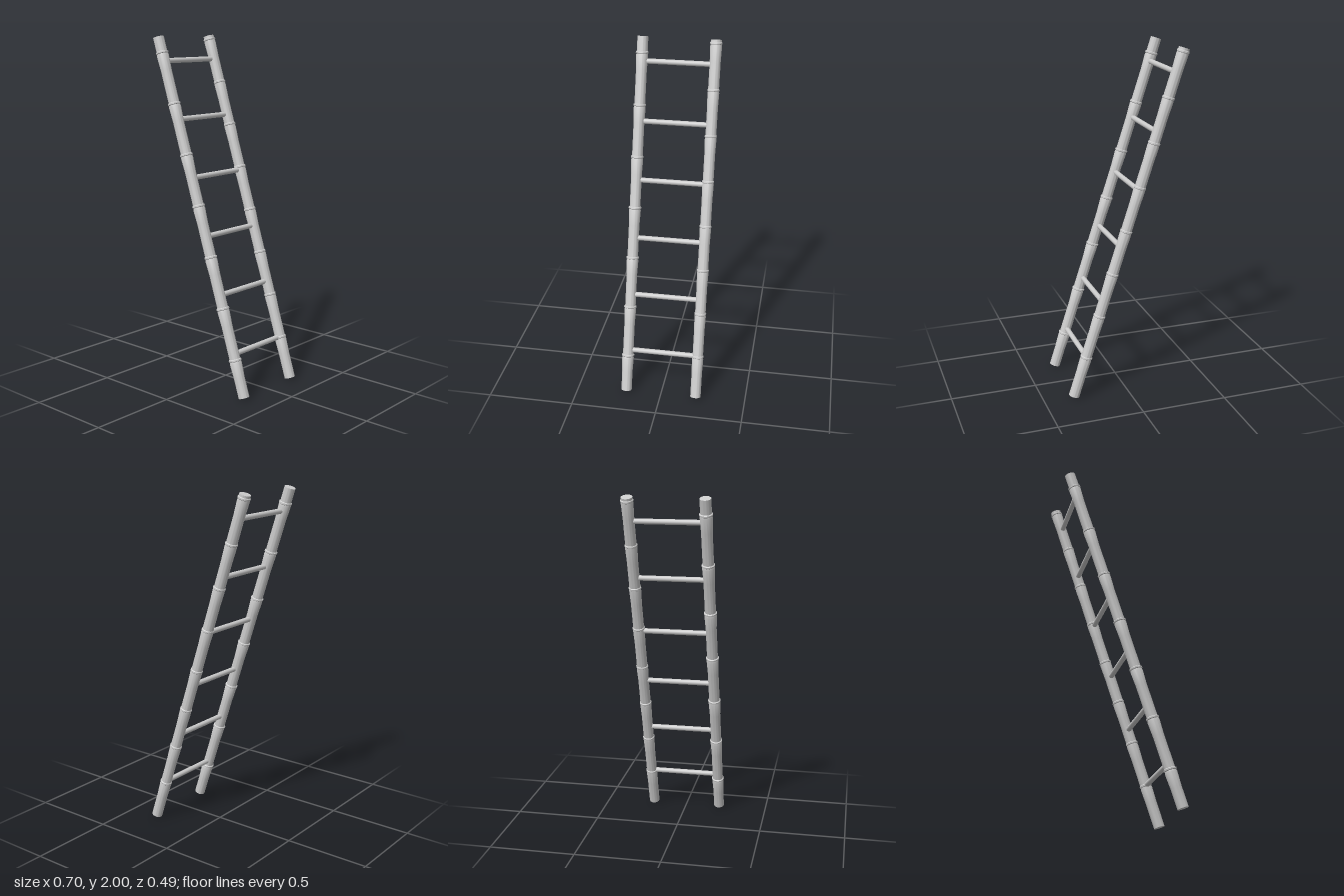
import * as THREE from 'three';
import { toCreasedNormals } from 'three/addons/utils/BufferGeometryUtils.js';

const LEAN = Math.atan2(0.644, 1.98);
const LENGTH = 2.082;
const RADIUS = 0.031;

// Bamboo pole: a lathe that swells below each node and carries a raised ring on it
function poleGeometry(nodeHeights, ring) {
  const half = LENGTH / 2;
  const points = [[0, -half], [RADIUS, -half]];
  for (const y of nodeHeights) {
    const s = (y - 1) / Math.cos(LEAN);
    points.push(
      [RADIUS, s - 0.1],
      [RADIUS + (ring - RADIUS) * 0.65, s - 0.016],
      [RADIUS + 0.001, s - 0.007],
      [ring, s - 0.004],
      [ring, s + 0.004],
      [RADIUS, s + 0.008]
    );
  }
  points.push([RADIUS, half], [0, half]);
  const profile = points.map(([r, s]) => new THREE.Vector2(r, s));
  return toCreasedNormals(new THREE.LatheGeometry(profile, 32), 0.5);
}

export function createModel() {
  const model = new THREE.Group();
  model.name = 'bambooLadder';
  const material = new THREE.MeshStandardMaterial({ color: 0xcccccc });

  // Two leaning poles with differently spaced nodes
  const poles = [
    { name: 'frontPole', z: 0.208, first: 0.215, step: 0.2815, count: 7, ring: 0.0365 },
    { name: 'backPole', z: -0.209, first: 0.245, step: 0.2465, count: 8, ring: 0.035 },
  ];
  for (const { name, z, first, step, count, ring } of poles) {
    const nodes = Array.from({ length: count }, (_, i) => first + i * step);
    const pole = new THREE.Mesh(poleGeometry(nodes, ring), material);
    pole.name = name;
    pole.position.set(0, 1, z);
    pole.rotation.z = LEAN;
    model.add(pole);
  }

  // Six rungs between the poles
  const rungGeometry = new THREE.CylinderGeometry(0.015, 0.015, 0.4, 20);
  rungGeometry.rotateX(Math.PI / 2);
  for (let i = 0; i < 6; i++) {
    const y = 0.247 + i * 0.3225;
    const rung = new THREE.Mesh(rungGeometry, material);
    rung.name = `rung${i + 1}`;
    rung.position.set(-(y - 1) * Math.tan(LEAN), y, 0);
    model.add(rung);
  }
  return model;
}
